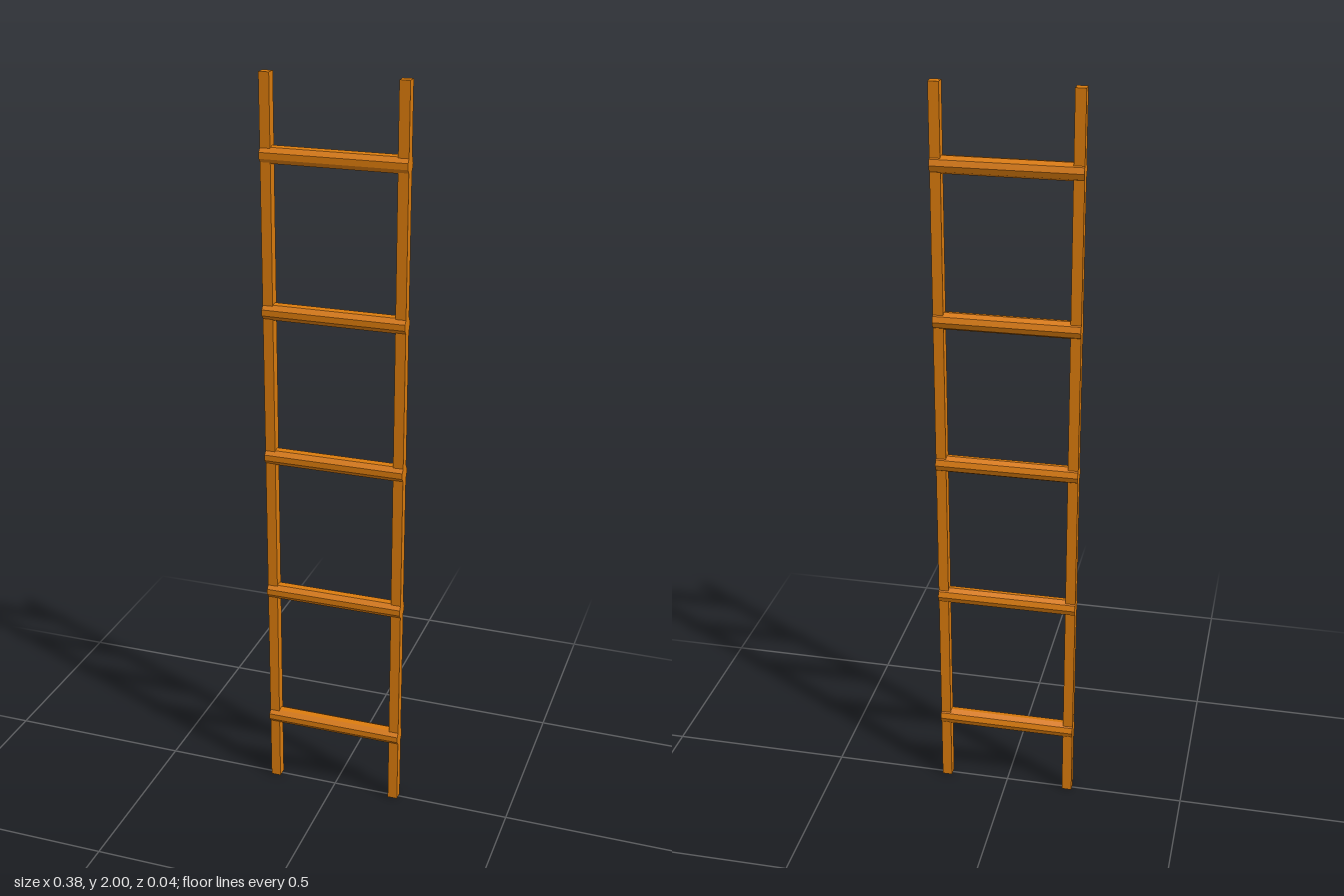
import * as THREE from 'three';

export function createModel() {
  const group = new THREE.Group();
  group.name = 'ladder';
  const wood = new THREE.MeshStandardMaterial({ color: 0xd97a0c, flatShading: true });

  const halfWidth = 0.189;
  const postSize = 0.027;
  const rungRadius = 0.023;
  const axisZ = 0.0007; // balances the odd-sided rungs about z = 0

  // Two square uprights
  const postGeometry = new THREE.BoxGeometry(postSize, 2, postSize);
  for (const side of [-1, 1]) {
    const post = new THREE.Mesh(postGeometry, wood);
    post.name = side > 0 ? 'leftPost' : 'rightPost';
    post.position.set(side * (halfWidth - postSize / 2), 1, axisZ);
    group.add(post);
  }

  // Five nine-sided rungs running through the posts, one corner facing back
  const rungGeometry = new THREE.CylinderGeometry(
    rungRadius, rungRadius, halfWidth * 2, 9, 1, false, Math.PI
  ).rotateZ(Math.PI / 2);
  for (let i = 0; i < 5; i++) {
    const rung = new THREE.Mesh(rungGeometry, wood);
    rung.name = `rung${i + 1}`;
    rung.position.set(0, 0.2 + i * 0.4, axisZ);
    group.add(rung);
  }

  return group;
}
